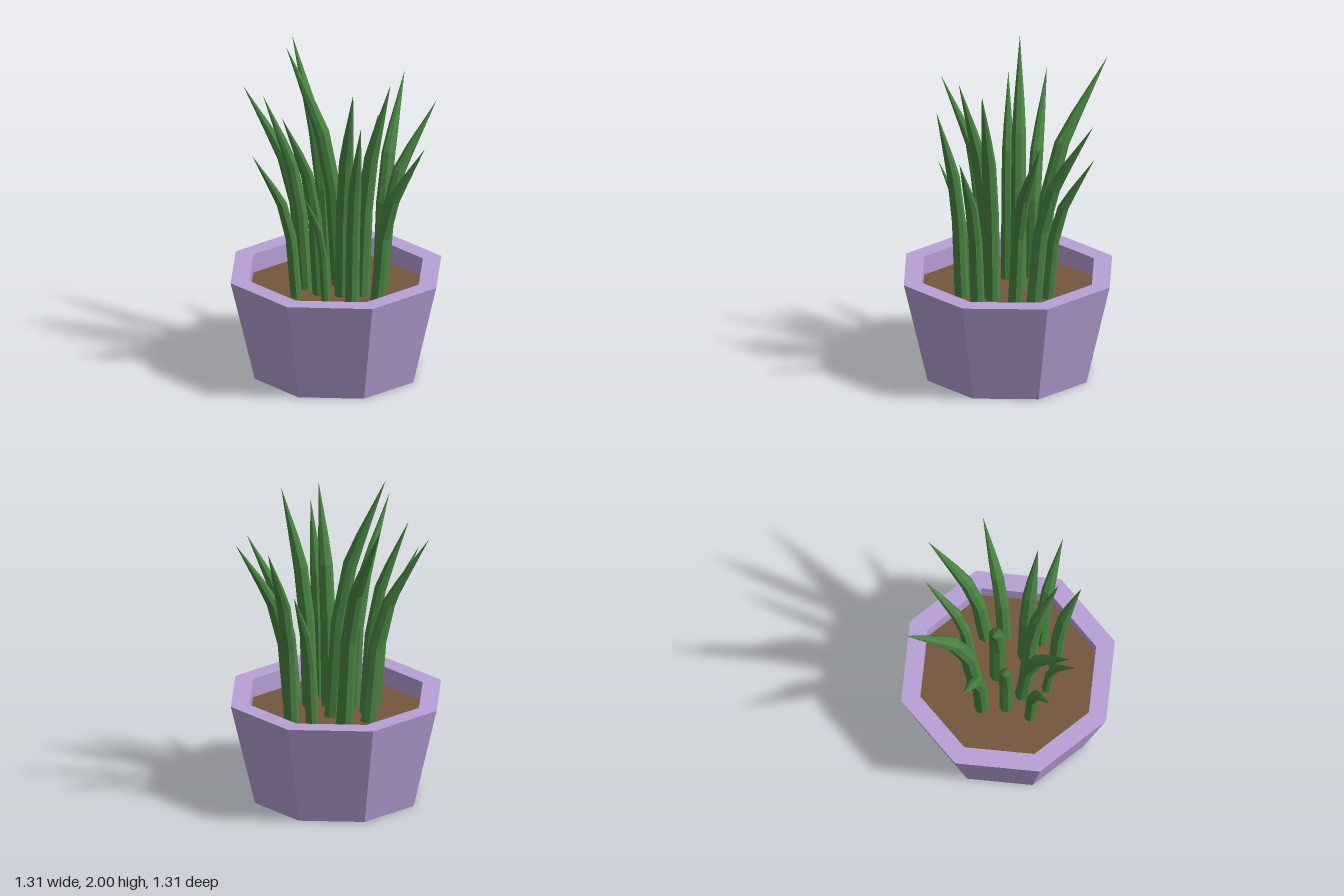
import * as THREE from 'three';

const SOIL_Y = 0.51;
const SIDES = 8;

const material = (name, color) => {
  const m = new THREE.MeshStandardMaterial({ color, flatShading: true });
  m.name = name;
  return m;
};

// Leaf stations: [height fraction, outward fraction, radius factor, tilt]
const STATIONS = [
  [0, 0, 1, 0],
  [0.4, 0.12, 0.97, 0.1],
  [0.64, 0.33, 0.9, 0.3],
  [0.76, 0.54, 0.66, 0.42],
  [1, 1, 0, 0.42],
];

// Leaves: [base x, base z, tip x, tip y, tip z, radius]
const LEAVES = [
  [0.015, -0.19, -0.05, 1.87, -0.645, 0.049],
  [-0.13, -0.2, -0.435, 1.69, -0.41, 0.043],
  [0.04, -0.05, -0.25, 2.0, -0.17, 0.05],
  [-0.165, -0.06, -0.4, 1.72, -0.155, 0.041],
  [-0.265, 0.055, -0.55, 1.45, 0.09, 0.034],
  [-0.12, 0.05, -0.425, 1.74, 0.26, 0.043],
  [-0.13, 0.195, -0.31, 1.25, 0.32, 0.027],
  [0, 0.29, 0, 1.69, 0.45, 0.042],
  [0, 0.118, 0, 1.85, 0.31, 0.047],
  [0.11, 0.14, 0.25, 1.86, 0.26, 0.047],
  [0.17, 0.255, 0.395, 1.51, 0.455, 0.042],
  [0.21, -0.17, 0.4, 1.42, -0.39, 0.036],
  [0.295, -0.05, 0.54, 1.69, -0.33, 0.045],
  [0.26, 0.055, 0.615, 1.63, 0.03, 0.042],
];

// Faceted leaf: an upright stalk that bends outward and tapers to a point
function leafGeometry([bx, bz, tx, ty, tz, radius]) {
  const out = new THREE.Vector3(tx - bx, 0, tz - bz).normalize();
  const side = new THREE.Vector3(out.z, 0, -out.x);
  const positions = [];
  const index = [];
  for (const [h, o, r, tilt] of STATIONS) {
    const centre = new THREE.Vector3(
      bx + (tx - bx) * o, SOIL_Y + (ty - SOIL_Y) * h, bz + (tz - bz) * o);
    const across = out.clone().multiplyScalar(Math.cos(tilt));
    across.y = -Math.sin(tilt);
    for (let i = 0; i < SIDES; i++) {
      const a = ((i + 0.5) / SIDES) * Math.PI * 2;
      const p = centre.clone()
        .addScaledVector(across, Math.cos(a) * radius * r)
        .addScaledVector(side, Math.sin(a) * radius * r);
      positions.push(p.x, p.y, p.z);
    }
  }
  for (let s = 0; s < STATIONS.length - 1; s++) {
    for (let i = 0; i < SIDES; i++) {
      const j = (i + 1) % SIDES;
      const a = s * SIDES + i, b = s * SIDES + j;
      const c = a + SIDES, d = b + SIDES;
      index.push(a, b, c);
      if (s < STATIONS.length - 2) index.push(b, d, c);
    }
  }
  const g = new THREE.BufferGeometry();
  g.setAttribute('position', new THREE.Float32BufferAttribute(positions, 3));
  g.setIndex(index);
  g.computeVertexNormals();
  return g;
}

export function createModel() {
  const group = new THREE.Group();
  group.name = 'pottedPlant';
  const lavender = material('lavender pot', 0xb8a0d6);
  const brown = material('brown soil', 0x75563c);
  const green = material('leaf green', 0x4a8643);

  // Octagonal pot with a flat rim and a hollow top
  const profile = [[0, 0], [0.505, 0], [0.655, 0.625], [0.54, 0.625], [0.54, SOIL_Y - 0.02]]
    .map(([x, y]) => new THREE.Vector2(x, y));
  const pot = new THREE.Mesh(new THREE.LatheGeometry(profile, 8), lavender);
  pot.name = 'pot';
  group.add(pot);

  // Soil
  const soil = new THREE.Mesh(new THREE.CylinderGeometry(0.54, 0.54, 0.02, 8), brown);
  soil.name = 'soil';
  soil.position.y = SOIL_Y - 0.01;
  group.add(soil);

  // Leaves
  const leaves = new THREE.Group();
  leaves.name = 'leaves';
  for (const spec of LEAVES) {
    const leaf = new THREE.Mesh(leafGeometry(spec), green);
    leaf.name = 'leaf';
    leaves.add(leaf);
  }
  group.add(leaves);
  return group;
}
